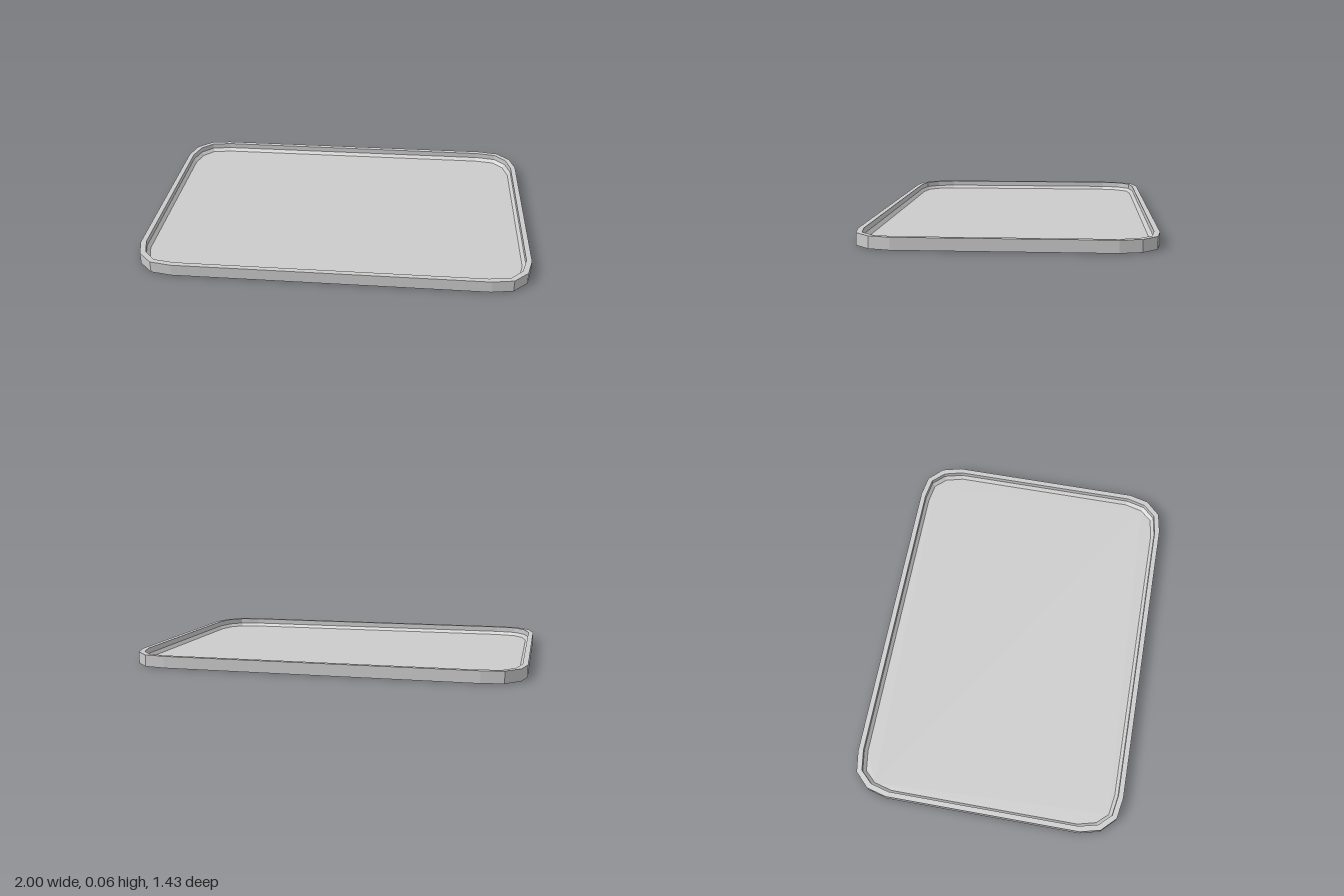
import * as THREE from 'three';

// Rounded-corner outline, shrunk evenly by an inset; runs from +x towards +z
function outline(inset) {
  const k = inset * 0.4;
  const corner = [
    [1 - inset, 0.515 - k],
    [0.973 - inset * 0.95, 0.62 - inset * 0.6],
    [0.9 - inset * 0.5, 0.694 - inset * 0.95],
    [0.79 - k, 0.713 - inset],
  ];
  const flipped = [...corner].reverse();
  return [
    ...corner,
    ...flipped.map(([x, z]) => [-x, z]),
    ...corner.map(([x, z]) => [-x, -z]),
    ...flipped.map(([x, z]) => [x, -z]),
  ];
}

// Joins successive rings [inset, y] with flat quads
function bands(rings) {
  const pos = [];
  for (let r = 0; r < rings.length - 1; r++) {
    const [a, b] = [rings[r], rings[r + 1]].map(([inset, y]) =>
      outline(inset).map(([x, z]) => [x, y, z]));
    for (let i = 0; i < a.length; i++) {
      const j = (i + 1) % a.length;
      pos.push(...a[i], ...b[i], ...b[j], ...a[i], ...b[j], ...a[j]);
    }
  }
  const g = new THREE.BufferGeometry();
  g.setAttribute('position', new THREE.Float32BufferAttribute(pos, 3));
  g.computeVertexNormals();
  return g;
}

// Flat panel filling the outline at height y, facing up or down
function panel(inset, y, up) {
  const shape = new THREE.Shape(outline(inset).map(([x, z]) => new THREE.Vector2(x, z)));
  const g = new THREE.ShapeGeometry(shape);
  g.rotateX(up ? -Math.PI / 2 : Math.PI / 2);
  return g.translate(0, y, 0);
}

export function createModel() {
  const tray = new THREE.Group();
  tray.name = 'tray';
  const material = new THREE.MeshStandardMaterial({ color: 0xcccccc, flatShading: true });
  const add = (name, geometry) => {
    const mesh = new THREE.Mesh(geometry, material);
    mesh.name = name;
    tray.add(mesh);
  };

  const height = 0.06, rim = 0.027, floorInset = 0.043, floorY = 0.015;

  // Outer wall, flat rim, inner wall and sloped foot
  add('rim', bands([
    [0, 0],
    [0, height],
    [rim, height],
    [rim, 0.032],
    [floorInset, floorY],
  ]));
  add('floor', panel(floorInset, floorY, true));
  add('underside', panel(0, 0, false));

  return tray;
}
